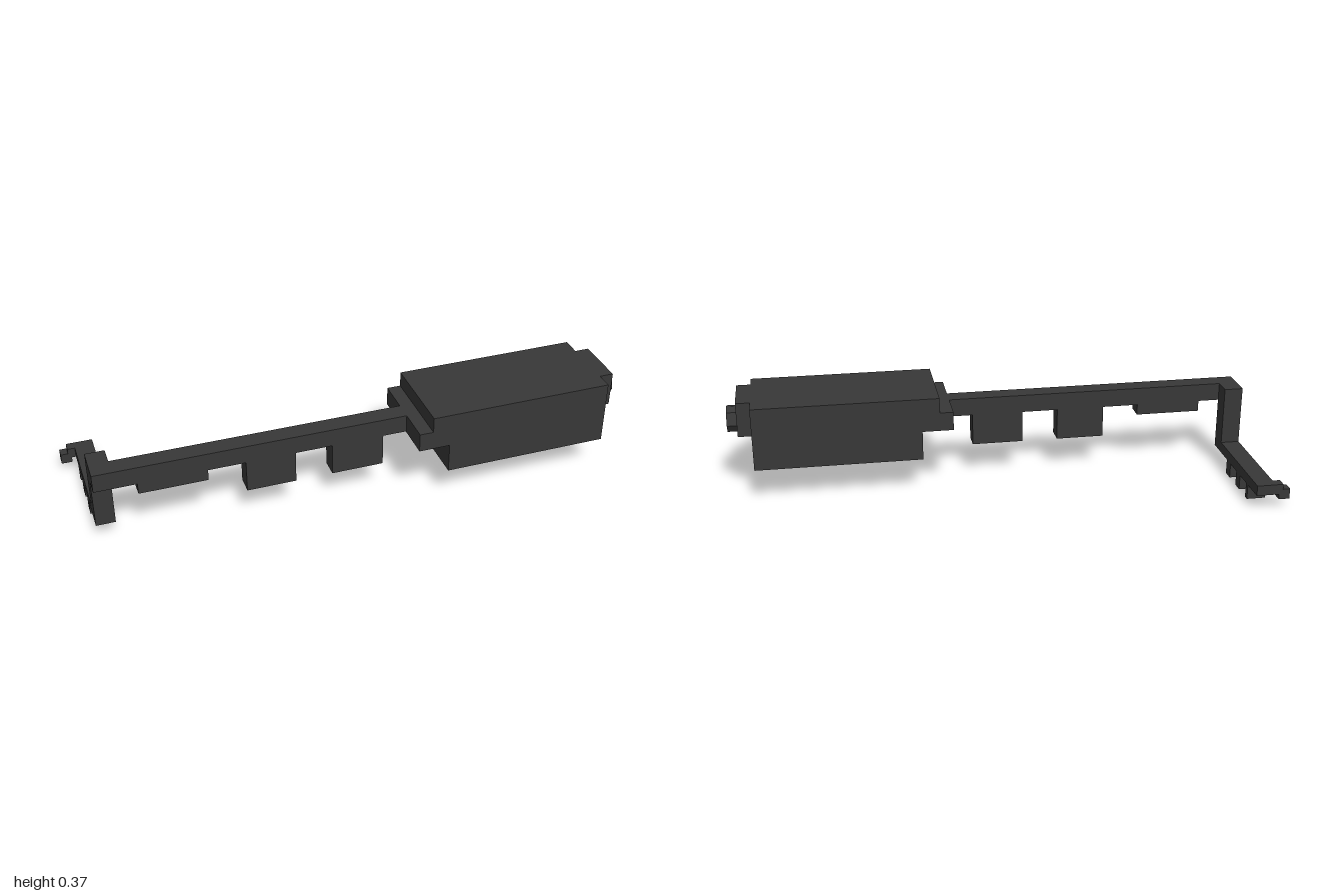
import * as THREE from 'three';

export function createModel() {
  const group = new THREE.Group();
  const darkGrey = new THREE.MeshStandardMaterial({ color: 0x383838 });
  darkGrey.name = 'darkGrey';

  const add = (name, geometry) => {
    const mesh = new THREE.Mesh(geometry, darkGrey);
    mesh.name = name;
    group.add(mesh);
    return mesh;
  };
  // box from its limits on each axis
  const block = (name, [x0, x1], [y0, y1], [z0, z1]) =>
    add(name, new THREE.BoxGeometry(x1 - x0, y1 - y0, z1 - z0))
      .position.set((x0 + x1) / 2, (y0 + y1) / 2, (z0 + z1) / 2);
  const rectangle = (Type, x0, x1, y0, y1) => new Type([
    new THREE.Vector2(x0, y0), new THREE.Vector2(x1, y0),
    new THREE.Vector2(x1, y1), new THREE.Vector2(x0, y1)]);

  // handle: stepped body, wide at the top
  const bodyZ = [0.012, 0.335];
  block('handleTop', [0.23, 0.91], [0.315, 0.372], bodyZ);
  block('handleMiddle', [0.18, 0.91], [0.245, 0.315], bodyZ);
  block('handleLower', [0.295, 0.91], [0.19, 0.245], bodyZ);
  block('endStep', [0.91, 0.962], [0.242, 0.372], [0.082, 0.273]);

  // underside plate with three recesses
  const base = rectangle(THREE.Shape, 0.295, 0.91, ...bodyZ);
  for (const [x, z, w, d] of [[0.84, 0.075, 0.08, 0.08], [0.62, 0.22, 0.08, 0.08], [0.39, 0.18, 0.08, 0.2]]) {
    base.holes.push(rectangle(THREE.Path, x - w / 2, x + w / 2, z - d / 2, z + d / 2));
  }
  const baseGeometry = new THREE.ExtrudeGeometry(base, { depth: 0.055, bevelEnabled: false });
  baseGeometry.rotateX(Math.PI / 2);
  add('handleBase', baseGeometry).position.y = 0.19;

  // eight-sided end cap with a square socket; shape x runs along -z
  const cap = new THREE.Shape([
    [-0.208, 0.243], [-0.172, 0.238], [-0.136, 0.243], [-0.118, 0.272],
    [-0.132, 0.319], [-0.172, 0.327], [-0.21, 0.319], [-0.225, 0.272],
  ].map(([u, v]) => new THREE.Vector2(u, v)));
  cap.holes.push(rectangle(THREE.Path, -0.205, -0.14, 0.246, 0.315));
  const capGeometry = new THREE.ExtrudeGeometry(cap, { depth: 0.038, bevelEnabled: false });
  capGeometry.rotateY(Math.PI / 2);
  add('endCap', capGeometry).position.x = 0.962;
  block('socketFloor', [0.955, 0.98], [0.244, 0.316], [0.139, 0.206]);

  // long bar and the lugs hanging below it
  const barZ = [0.138, 0.207];
  block('bar', [-0.945, 0.18], [0.248, 0.315], barZ);
  for (const [x0, x1, y] of [[-0.795, -0.55, 0.207], [-0.415, -0.235, 0.128], [-0.1, 0.092, 0.128]]) {
    block('barLug', [x0, x1], [y, 0.248], barZ);
  }

  // cranked post and the toothed arm at its foot
  const armX = [-0.945, -0.875];
  block('barElbow', armX, [0.248, 0.315], [0.07, 0.138]);
  block('post', armX, [0.095, 0.248], [0.07, 0.14]);
  block('arm', armX, [0.056, 0.095], [-0.335, 0.14]);
  for (const z of [[-0.05, -0.007], [-0.157, -0.115], [-0.242, -0.222]]) {
    block('armTooth', armX, [0, 0.056], z);
  }

  // small hook at the arm's end
  const hookZ = [-0.335, -0.298];
  block('hookStep', [-0.973, -0.945], [0.056, 0.095], hookZ);
  block('hookTip', [-1, -0.96], [0.036, 0.075], hookZ);

  return group;
}
